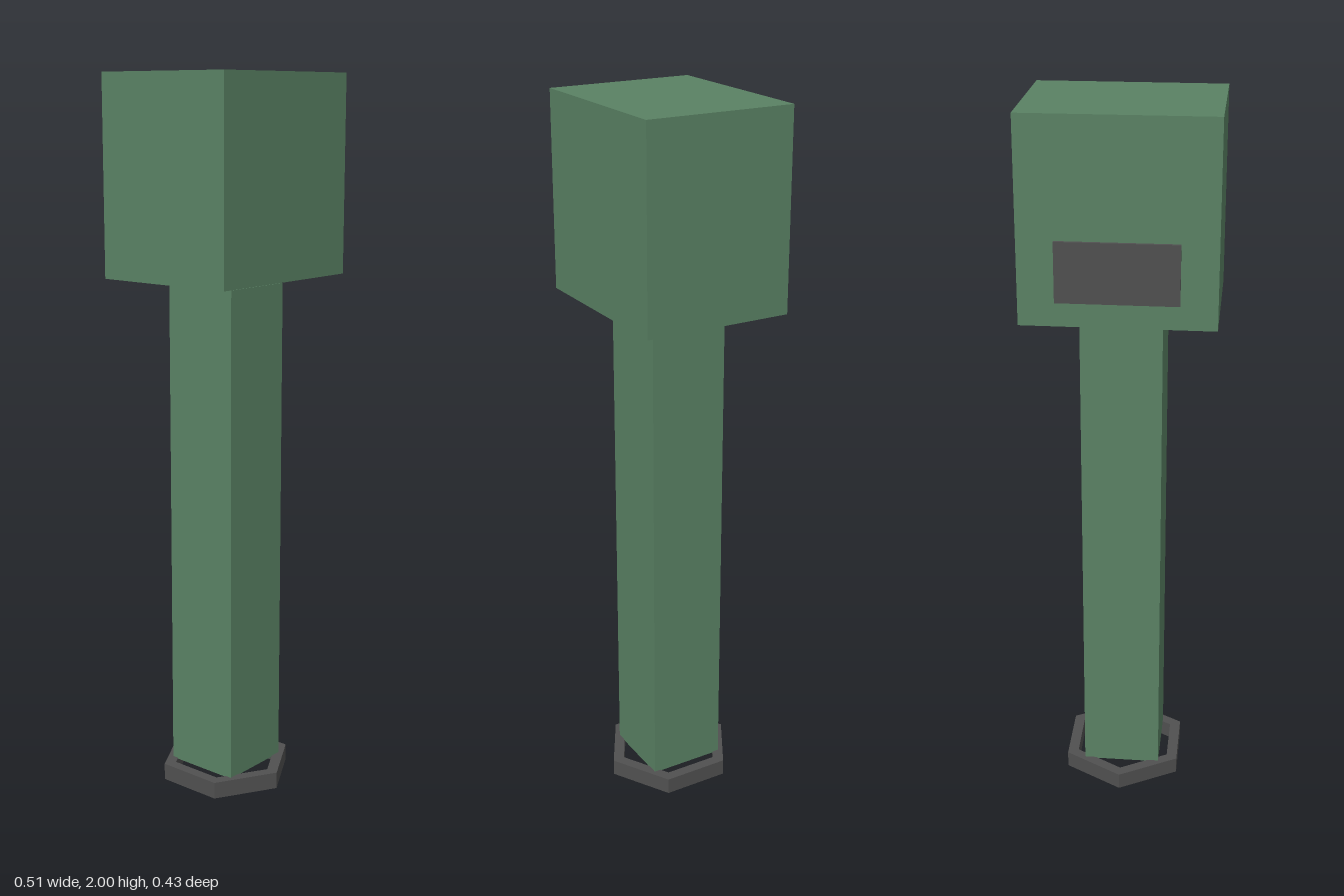
import * as THREE from 'three';

const green = new THREE.MeshStandardMaterial({ color: 0x5a8264 });
const darkGrey = new THREE.MeshStandardMaterial({ color: 0x505050 });

function part(name, geometry, material, x, y, z) {
  const mesh = new THREE.Mesh(geometry, material);
  mesh.name = name;
  mesh.position.set(x, y, z);
  return mesh;
}

// Six corners, with two of them on the z axis
function hexagon(radius, Type = THREE.Shape) {
  const points = [];
  for (let i = 0; i < 6; i++) {
    const a = Math.PI / 2 + (i * Math.PI) / 3;
    points.push(new THREE.Vector2(radius * Math.cos(a), radius * Math.sin(a)));
  }
  return new Type(points);
}

export function createModel() {
  const model = new THREE.Group();
  model.name = 'mallet';
  const axisZ = 0.005;

  // Block head with a plate on its back
  model.add(part('head', new THREE.BoxGeometry(0.512, 0.54, 0.417), green, 0, 1.73, 0.004));
  model.add(part('backPlate', new THREE.BoxGeometry(0.32, 0.16, 0.02), darkGrey, 0, 1.605, -0.203));

  // Square handle, a small gap below the head
  model.add(part('handle', new THREE.BoxGeometry(0.22, 1.395, 0.22), green, 0, 0.7425, axisZ));

  // Hexagonal collar, open in the middle
  const ring = hexagon(0.19);
  ring.holes.push(hexagon(0.155, THREE.Path));
  const collar = new THREE.ExtrudeGeometry(ring, { depth: 0.048, bevelEnabled: false });
  collar.rotateX(-Math.PI / 2);
  model.add(part('collar', collar, darkGrey, 0, 0, axisZ));

  return model;
}
